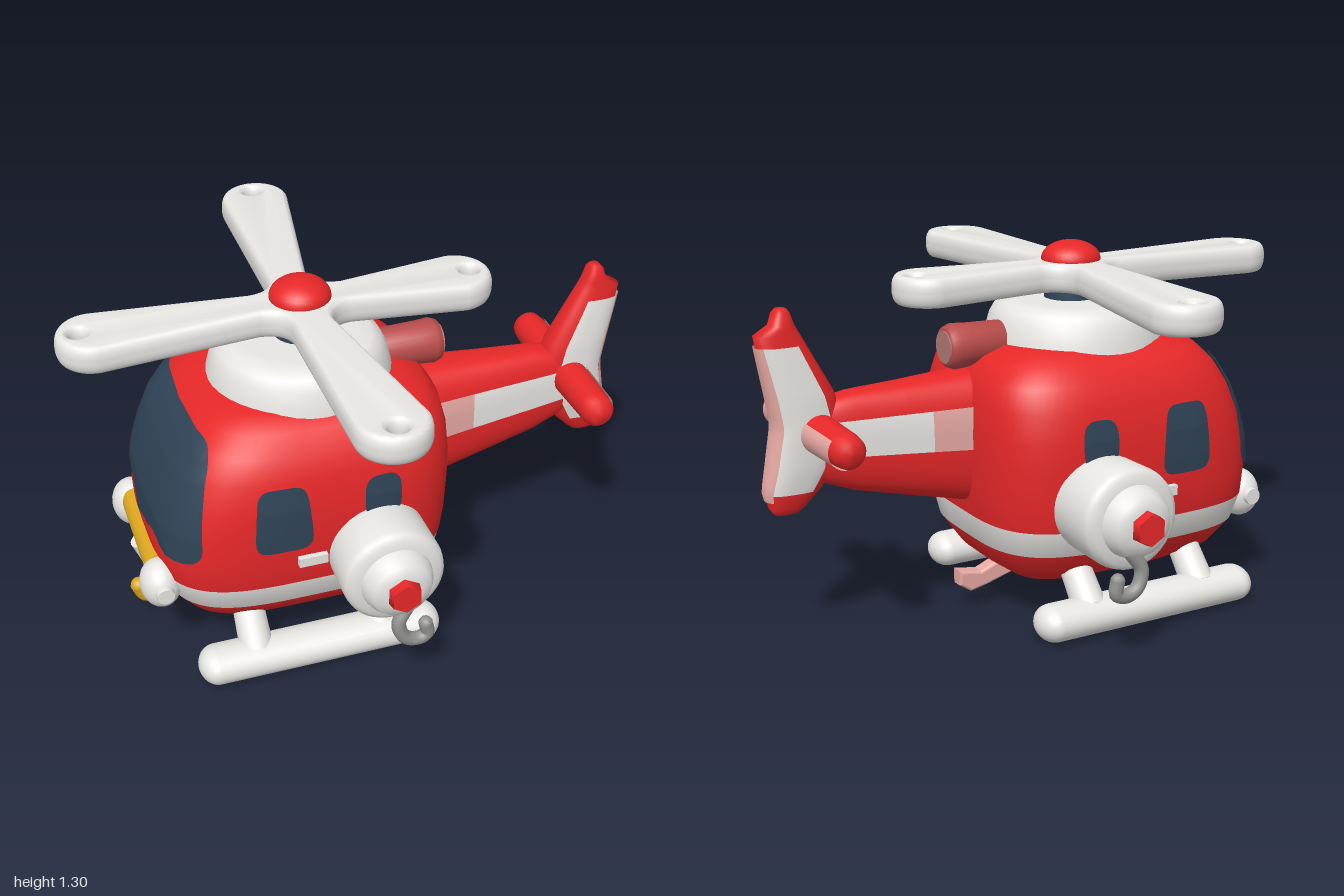
import * as THREE from 'three';
import { toCreasedNormals } from 'three/addons/utils/BufferGeometryUtils.js';

const mat = (name, color, side = THREE.FrontSide) => {
  const m = new THREE.MeshStandardMaterial({ color, side });
  m.name = name;
  return m;
};

// Cabin sections: height, nose x, rear x, half width
const CABIN = { n: 3.6, rows: [
  [0.095, -0.23, -0.23, 0], [0.105, -0.42, 0, 0.13], [0.135, -0.59, 0.1, 0.23],
  [0.2, -0.69, 0.19, 0.34], [0.29, -0.745, 0.25, 0.41], [0.385, -0.77, 0.27, 0.437],
  [0.48, -0.775, 0.28, 0.447], [0.6, -0.76, 0.285, 0.45], [0.7, -0.73, 0.285, 0.447],
  [0.8, -0.69, 0.277, 0.43], [0.88, -0.64, 0.257, 0.4], [0.94, -0.58, 0.21, 0.352],
  [0.972, -0.5, 0.13, 0.28], [0.985, -0.36, 0, 0.16], [0.99, -0.19, -0.19, 0],
] };
// Tail fin sections: height, front x, rear x, half width
const FIN = { n: 2.5, rows: [
  [0.474, 0.91, 0.91, 0], [0.478, 0.87, 0.955, 0.022], [0.5, 0.845, 0.972, 0.036], [0.56, 0.785, 0.985, 0.052],
  [0.64, 0.735, 0.97, 0.064], [0.78, 0.71, 0.945, 0.072], [0.88, 0.735, 0.96, 0.068], [1.0, 0.8, 0.982, 0.056],
  [1.085, 0.845, 0.997, 0.046], [1.115, 0.862, 0.945, 0.041], [1.155, 0.875, 0.932, 0.035], [1.168, 0.885, 0.92, 0.022], [1.17, 0.9, 0.9, 0],
] };
// Tail boom sections: x, bottom, top, half width
const BOOM = { n: 2.8, rows: [
  [0.15, 0.4, 0.905, 0.14], [0.27, 0.425, 0.89, 0.13], [0.5, 0.48, 0.876, 0.103],
  [0.68, 0.525, 0.868, 0.083], [0.78, 0.565, 0.85, 0.071], [0.86, 0.63, 0.81, 0.058], [0.92, 0.72, 0.72, 0],
] };
const SEG = 72;
const spow = (v, p) => Math.sign(v) * Math.abs(v) ** p;
const lerp = THREE.MathUtils.lerp;

// Centre, half length and half width of a section at key k
function section({ rows }, k) {
  let i = 0;
  while (i < rows.length - 2 && rows[i + 1][0] < k) i++;
  const p = rows[i], q = rows[i + 1], f = (k - p[0]) / (q[0] - p[0]);
  const [lo, hi, b] = [1, 2, 3].map((j) => lerp(p[j], q[j], f));
  return { c: (lo + hi) / 2, a: (hi - lo) / 2, b };
}
function ringPoint(table, t, y, grow = 0) {
  const { c, a, b } = section(table, y);
  return [c + (a + grow) * spow(Math.cos(t), 2 / table.n), y, (b + grow) * spow(Math.sin(t), 2 / table.n)];
}
function halfWidth(table, k, d) {
  const { c, a, b } = section(table, k);
  return b * Math.max(0, 1 - Math.abs((d - c) / a) ** table.n) ** (1 / table.n);
}
// Closed body through all sections; the band whiteRow gets the second material.
// With lying set, the sections follow x instead of y.
function loft(table, { whiteRow = -1, lying = false } = {}) {
  const pos = [], idx = [], g = new THREE.BufferGeometry(), last = table.rows.length - 1;
  table.rows.forEach(([k], i) => {
    for (let j = 0; j < SEG; j++) {
      const [x, y, z] = ringPoint(table, (j / SEG) * Math.PI * 2, k);
      pos.push(...(lying ? [y, x, -z] : [x, y, z]));
      if (i === last) continue;
      const a = i * SEG + j, b = i * SEG + (j + 1) % SEG;
      idx.push(a, a + SEG, b, b, a + SEG, b + SEG);
    }
    if (whiteRow >= 0 && i < last) g.addGroup(i * SEG * 6, SEG * 6, i === whiteRow ? 1 : 0);
  });
  g.setAttribute('position', new THREE.Float32BufferAttribute(pos, 3));
  g.setIndex(idx);
  g.computeVertexNormals();
  return g;
}
// Rounded panel; map turns u, v in -1..1 into a point
function patch(map, m = 5) {
  const g = new THREE.RingGeometry(0.001, 1, 64, 14), p = g.attributes.position;
  for (let i = 0; i < p.count; i++) {
    const r = Math.hypot(p.getX(i), p.getY(i));
    p.setXYZ(i, ...map(r * spow(p.getX(i) / r, 2 / m), r * spow(p.getY(i) / r, 2 / m)));
  }
  g.computeVertexNormals();
  return g;
}
// Four-sided panel; map turns u, v in 0..1 into a point
function sheet(map) {
  const g = new THREE.PlaneGeometry(1, 1, 20, 20), p = g.attributes.position;
  for (let i = 0; i < p.count; i++) p.setXYZ(i, ...map(p.getX(i) + 0.5, p.getY(i) + 0.5));
  g.computeVertexNormals();
  return g;
}

export function createModel() {
  const model = new THREE.Group();
  model.name = 'helicopter';
  const D = THREE.DoubleSide;
  const red = mat('red paint', 0xea2829), white = mat('white paint', 0xeeedea, D);
  const glass = mat('dark glass', 0x2f4356, D), pink = mat('pale pink', 0xf0b0aa, D);
  const dusty = mat('dusty red', 0xb84c4a), brown = mat('dull pink', 0xb27a76);
  const yellow = mat('yellow', 0xdda71e), grey = mat('grey metal', 0x929291);

  const add = (name, geo, material, pos = [0, 0, 0], rot = [0, 0, 0], scale = [1, 1, 1]) => {
    const m = new THREE.Mesh(geo, material);
    m.name = name;
    m.position.set(...pos);
    m.rotation.set(...rot);
    m.scale.set(...scale);
    model.add(m);
    return m;
  };
  const lathe = (pts, seg = 40) => new THREE.LatheGeometry(pts.map(([r, y]) => new THREE.Vector2(r, y)), seg);
  const rod = (name, from, to, r0, r1, material) => {
    const a = new THREE.Vector3(...from), d = new THREE.Vector3(...to).sub(a);
    const m = add(name, new THREE.CylinderGeometry(r1, r0, d.length(), 20), material);
    m.position.copy(a).addScaledVector(d, 0.5);
    m.quaternion.setFromUnitVectors(new THREE.Vector3(0, 1, 0), d.normalize());
  };
  const hook = (name, pts, r, material) => {
    const v = pts.map((p) => new THREE.Vector3(...p));
    add(name, new THREE.TubeGeometry(new THREE.CatmullRomCurve3(v), 24, r, 10), material);
    [pts[0], pts[pts.length - 1]].forEach((p) => add(name + 'End', new THREE.SphereGeometry(r, 10, 8), material, p));
  };

  // Cabin with a white belt, windows and door handles
  add('cabin', loft(CABIN, { whiteRow: 4 }), [red, white]);
  add('windshield', patch((u, v) => ringPoint(CABIN, Math.PI + u * (0.83 - 0.14 * v), 0.708 + 0.212 * v, 0.011), 6), glass);
  for (const s of [1, -1]) {
    const onSide = (x, y) => [x, y, s * (halfWidth(CABIN, y, x) + 0.009)];
    add('doorWindow', patch((u, v) => onSide(-0.38 + u * (0.093 - 0.01 * v), 0.665 + 0.123 * v)), glass);
    add('rearWindow', patch((u, v) => onSide(-0.035 + 0.065 * u, 0.69 + 0.083 * v), 3.2), glass);
    add('doorHandle', new THREE.BoxGeometry(0.1, 0.035, 0.03), white, [-0.285, 0.488, s * 0.452]);
  }

  // Roof, mast and exhaust
  add('roof', lathe([[0.325, 0.93], [0.315, 0.985], [0.3, 1.04], [0.28, 1.075], [0.25, 1.095], [0.2, 1.1], [0, 1.1]]), white, [-0.19, 0, 0]);
  add('mast', new THREE.CylinderGeometry(0.09, 0.095, 0.08, 28), glass, [-0.18, 1.12, 0]);
  add('exhaust', lathe([[0, -0.16], [0.07, -0.16], [0.076, 0.08], [0.08, 0.13], [0.07, 0.155], [0.055, 0.16], [0, 0.16]], 24), dusty, [0.16, 0.972, 0], [0, 0, -Math.PI / 2]);
  add('exhaustEnd', new THREE.CylinderGeometry(0.057, 0.057, 0.008, 24), brown, [0.32, 0.972, 0], [0, 0, -Math.PI / 2]);

  // Rotor: one outline round four blades, each with length and sideways lean
  const rotor = new THREE.Shape();
  [[0.68, 0], [0.89, -0.055], [0.82, 0], [0.89, 0.055]].forEach(([L, lean], k) => {
    const turn = (x, y) => new THREE.Vector2(x, y).rotateAround(new THREE.Vector2(), k * Math.PI / 2).toArray();
    if (k === 0) rotor.moveTo(...turn(0.16, -0.072));
    for (let i = 0; i <= 20; i++) {
      const t = (i / 20 - 0.5) * Math.PI;
      rotor.lineTo(...turn(L - 0.125 + 0.125 * Math.cos(t), lean + 0.125 * Math.sin(t)));
    }
    rotor.lineTo(...turn(0.16, 0.072));
    rotor.quadraticCurveTo(...turn(0.078, 0.078), ...turn(0.072, 0.16));
    rotor.holes.push(new THREE.Path().absarc(...turn(L - 0.078, lean), 0.028, 0, Math.PI * 2, true));
  });
  const blades = new THREE.ExtrudeGeometry(rotor, { depth: 0.012, bevelThickness: 0.044, bevelSize: 0.022, bevelOffset: -0.022, bevelSegments: 6, curveSegments: 8 });
  blades.translate(0, 0, -0.006).rotateX(-Math.PI / 2);
  add('rotorBlades', toCreasedNormals(blades, 0.8), white, [-0.18, 1.183, 0]);
  add('rotorCap', new THREE.SphereGeometry(0.105, 32, 16), red, [-0.18, 1.235, 0], [0, 0, 0], [1, 0.62, 1]);

  // Tail boom and fin
  add('tailBoom', loft(BOOM, { lying: true }), red);
  add('tailFin', loft(FIN), red);

  // Pale panels on boom and fin
  for (const s of [1, -1]) {
    const onBoom = (x0, x1, y0, y1) => sheet((u, v) => {
      const x = lerp(x0, x1, u), y = lerp(lerp(y0, y1, u), 0.785, v);
      return [x, y, s * (Math.max(halfWidth(BOOM, x, y), x > 0.72 ? halfWidth(FIN, y, x) : 0) + 0.006)];
    });
    add('boomPanel', onBoom(0.42, 0.84, 0.645, 0.67), white);
    add('boomRootPanel', onBoom(0.26, 0.42, 0.635, 0.645), pink);
    add('finPanel', sheet((u, v) => ringPoint(FIN, s * lerp(0.7, 2, u), lerp(0.555, 1.05, v), 0.006)), white);
  }
  add('finRearEdge', sheet((u, v) => ringPoint(FIN, lerp(-0.72, 0.72, u), lerp(0.53, 1.05, v), 0.007)), pink);

  // Stabiliser with pale faces behind and below
  for (const s of [1, -1]) {
    const rot = [s * Math.PI / 2, 0, 0];
    add('stabiliser', lathe([[0.066, 0], [0.06, 0.27], [0.055, 0.315], [0.035, 0.338], [0, 0.342]], 24), red, [0.81, 0.755, 0], rot);
    add('stabiliserRear', new THREE.CylinderGeometry(0.064, 0.07, 0.29, 16, 1, true, s > 0 ? 0 : 0.28 * Math.PI, Math.PI * 0.72), pink, [0.81, 0.755, s * 0.145], rot);
  }

  // Side pods with nozzle, nut and hook
  for (const s of [1, -1]) {
    const rot = [s * Math.PI / 2, 0, 0], c = [-0.05, 0.475, 0];
    const pod = lathe([[0.16, 0.34], [0.175, 0.42], [0.178, 0.59], [0.172, 0.615], [0.155, 0.627], [0.125, 0.632], [0.118, 0.66], [0.1, 0.69], [0.065, 0.702], [0, 0.705]]);
    add('sidePod', toCreasedNormals(pod.toNonIndexed(), 0.9), white, c, rot);
    add('podNut', new THREE.CylinderGeometry(0.055, 0.063, 0.05, 6), red, [-0.05, 0.475, s * 0.71], rot);
    hook('podHook', [[-0.02, 0.38, 0.66], [-0.055, 0.32, 0.67], [-0.035, 0.26, 0.675], [0.01, 0.24, 0.675], [0.045, 0.255, 0.675], [0.04, 0.3, 0.675]]
      .map(([x, y, z]) => [x, y, s * z]), 0.025, grey);
  }

  // Nose winch
  add('winchDrum', new THREE.CylinderGeometry(0.048, 0.048, 0.4, 24), yellow, [-0.763, 0.38, 0], [Math.PI / 2, 0, 0]);
  for (const s of [1, -1]) {
    add('winchMount', new THREE.SphereGeometry(0.085, 24, 16), white, [-0.768, 0.345, s * 0.24], [0, 0, 0], [0.85, 1.05, 1]);
    add('winchKnob', new THREE.CylinderGeometry(0.03, 0.035, 0.05, 16), white, [-0.768, 0.35, s * 0.31], [s * Math.PI / 2, 0, 0]);
  }
  rod('winchLink', [-0.785, 0.35, 0], [-0.735, 0.2, 0], 0.04, 0.03, white);
  hook('winchHook', [[-0.735, 0.2, 0], [-0.72, 0.145, 0], [-0.74, 0.1, 0], [-0.785, 0.1, 0], [-0.81, 0.145, 0]], 0.03, yellow);

  // Landing skids
  for (const s of [1, -1]) {
    add('skid', new THREE.CapsuleGeometry(0.065, 0.75, 10, 24), white, [-0.25, 0.07, s * 0.41], [0, 0, Math.PI / 2], [1, 1, 1.25]);
    for (const x of [-0.48, -0.025]) rod('skidStrut', [x, 0.09, s * 0.405], [x, 0.22, s * 0.29], 0.06, 0.055, white);
  }

  // Tail bumper
  const bumper = new THREE.Shape([[0.02, 0.13], [0.17, 0.085], [0.24, 0.07], [0.285, 0.1], [0.285, 0.155], [0.2, 0.14], [0.08, 0.19]].map((p) => new THREE.Vector2(...p)));
  add('tailBumper', new THREE.ExtrudeGeometry(bumper, { depth: 0.03, bevelThickness: 0.015, bevelSize: 0.01, bevelOffset: -0.01, bevelSegments: 3 }), pink, [0, 0, -0.015]);

  return model;
}
